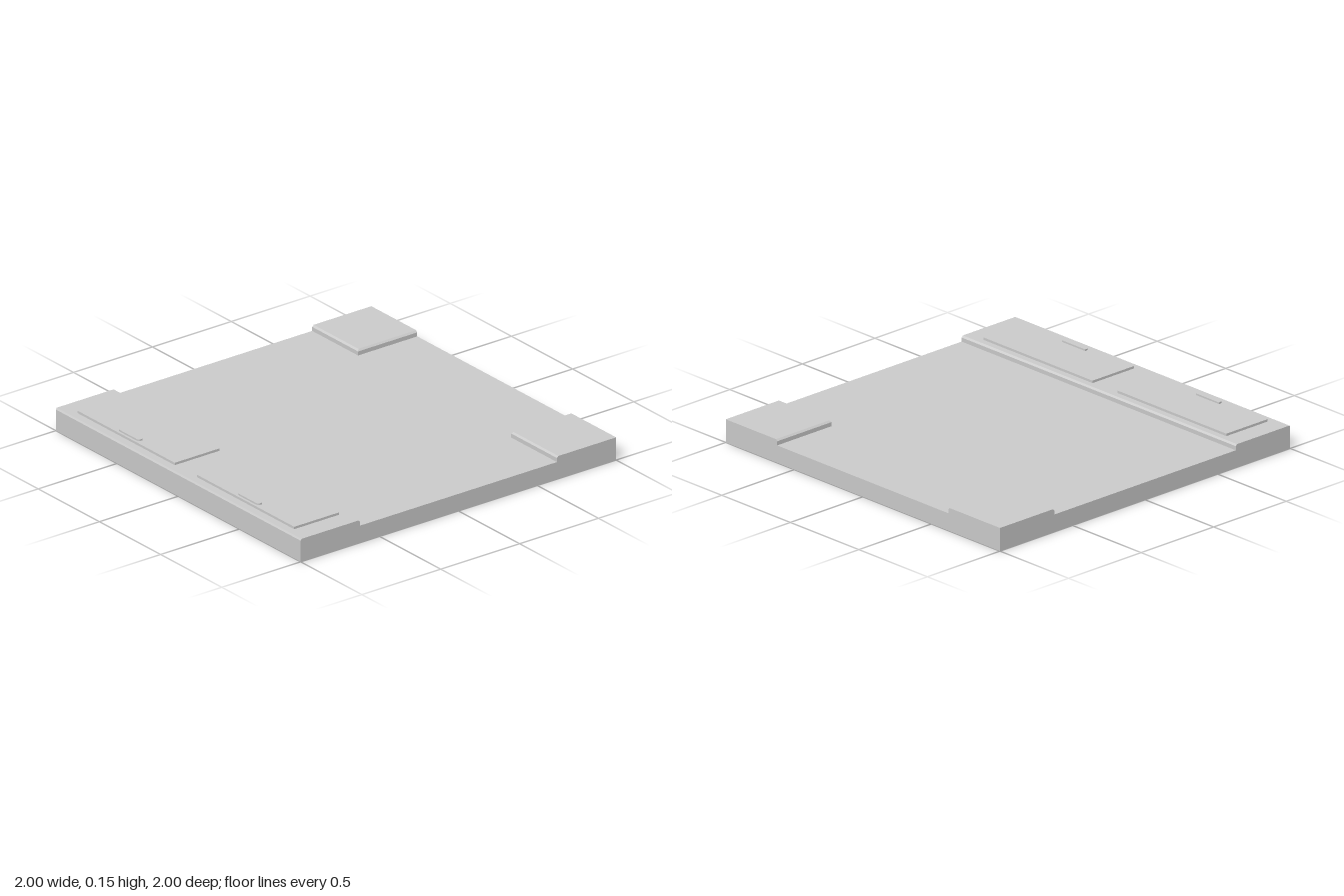
import * as THREE from 'three';

const grey = new THREE.MeshStandardMaterial({ color: 0xcccccc });
const shellMat = new THREE.MeshStandardMaterial({ color: 0xcccccc, flatShading: true, side: THREE.DoubleSide });

function add(parent, name, geometry, material = grey, x = 0, y = 0, z = 0) {
  const mesh = new THREE.Mesh(geometry, material);
  mesh.name = name;
  mesh.position.set(x, y, z);
  parent.add(mesh);
  return mesh;
}

// Open-bottomed tile: three rectangular rings and a flat top.
// bevel gives the inset of the top edge on [x0, x1, z0, z1].
function tileGeometry(x0, x1, z0, z1, h, bevel = [0, 0, 0, 0]) {
  const ring = (y, [a, b, c, d]) => [
    [x0 + a, y, z1 - d], [x1 - b, y, z1 - d], [x1 - b, y, z0 + c], [x0 + a, y, z0 + c],
  ];
  const none = [0, 0, 0, 0];
  const drop = Math.max(...bevel);
  const rings = [ring(0, none), ring(h - drop, none)];
  if (drop > 0) rings.push(ring(h, bevel));
  const pos = [];
  const quad = (a, b, c, d) => pos.push(...a, ...b, ...c, ...a, ...c, ...d);
  for (let r = 0; r < rings.length - 1; r++) {
    for (let i = 0; i < 4; i++) {
      const j = (i + 1) % 4;
      quad(rings[r][i], rings[r][j], rings[r + 1][j], rings[r + 1][i]);
    }
  }
  quad(...rings[rings.length - 1]);
  const g = new THREE.BufferGeometry();
  g.setAttribute('position', new THREE.Float32BufferAttribute(pos, 3));
  g.computeVertexNormals();
  return g;
}

// Pipe through a list of [x, z] points, with ball elbows at the bends
const PIPE_Y = 0.045, PIPE_R = 0.019;
function addPipe(parent, points) {
  const pipe = new THREE.Group();
  pipe.name = 'pipe';
  for (let i = 0; i < points.length - 1; i++) {
    const [ax, az] = points[i], [bx, bz] = points[i + 1];
    const length = Math.hypot(bx - ax, bz - az);
    const g = new THREE.CylinderGeometry(PIPE_R, PIPE_R, length, 12);
    g.rotateX(Math.PI / 2);
    const run = add(pipe, 'pipeRun', g, grey, (ax + bx) / 2, PIPE_Y, (az + bz) / 2);
    run.rotation.y = Math.atan2(bx - ax, bz - az);
    if (i > 0) add(pipe, 'pipeElbow', new THREE.SphereGeometry(PIPE_R, 12, 8), grey, ax, PIPE_Y, az);
  }
  parent.add(pipe);
}

export function createModel() {
  const model = new THREE.Group();
  model.name = 'floorPlatform';
  const E = 0.625, LOW = 0.094, HIGH = 0.125, B = 0.009;

  // Low floor tiles
  add(model, 'centreTile', tileGeometry(-E, E, -E, E, LOW), shellMat);
  add(model, 'backTile', tileGeometry(-E, E, -1, -E, LOW), shellMat);
  add(model, 'rightTile', tileGeometry(-1, -E, -E, E, LOW), shellMat);
  add(model, 'leftTile', tileGeometry(E, 1, -E, E, LOW), shellMat);

  // Raised front bar and back corners
  add(model, 'frontBar', tileGeometry(-1, 1, E, 1, HIGH, [0, 0, B, B * 0.6]), shellMat);
  add(model, 'backRightCorner', tileGeometry(-1, -E, -1, -E, HIGH, [0, B, 0, B]), shellMat);
  add(model, 'backLeftCorner', tileGeometry(E, 1, -1, -E, HIGH, [B, 0, 0, B]), shellMat);

  // Hatch covers with a pull handle on each
  const handleShape = new THREE.Shape();
  handleShape.moveTo(-0.084, 0.013);
  handleShape.lineTo(-0.084, 0.003);
  handleShape.quadraticCurveTo(-0.082, -0.013, -0.066, -0.013);
  handleShape.lineTo(0.066, -0.013);
  handleShape.quadraticCurveTo(0.082, -0.013, 0.084, 0.003);
  handleShape.lineTo(0.084, 0.013);
  handleShape.closePath();
  const handleGeometry = new THREE.ExtrudeGeometry(handleShape, {
    depth: 0.013, bevelEnabled: false, curveSegments: 5,
  });
  handleGeometry.rotateX(-Math.PI / 2);
  for (const side of [-1, 1]) {
    const hatch = new THREE.Group();
    hatch.name = side > 0 ? 'leftHatch' : 'rightHatch';
    add(hatch, 'hatchCover', new THREE.BoxGeometry(0.795, 0.018, 0.284), grey, side * 0.488, 0.129, 0.81);
    add(hatch, 'hatchHandle', handleGeometry, grey, side * 0.488, 0.134, 0.926);
    model.add(hatch);
  }

  // Pipes under the centre tile, ends poking through its walls
  const pipes = new THREE.Group();
  pipes.name = 'pipes';
  const END = 0.645;
  for (const z of [0.13, 0.215, 0.33, 0.46, 0.56]) addPipe(pipes, [[END, z], [-END, z]]);
  for (let i = 0; i < 3; i++) {
    const s = i * 0.088;
    addPipe(pipes, [[END, -0.4 + s], [0.38 - s, -0.4 + s], [0.38 - s, -END]]);
    addPipe(pipes, [[-END, 0.05 - s], [-0.03 - s * 0.88, 0.05 - s], [-0.03 - s * 0.88, -END]]);
    addPipe(pipes, [[-END, -0.24 - s], [-0.43 - s * 0.85, -0.24 - s], [-0.43 - s * 0.85, -END]]);
  }
  model.add(pipes);

  return model;
}
